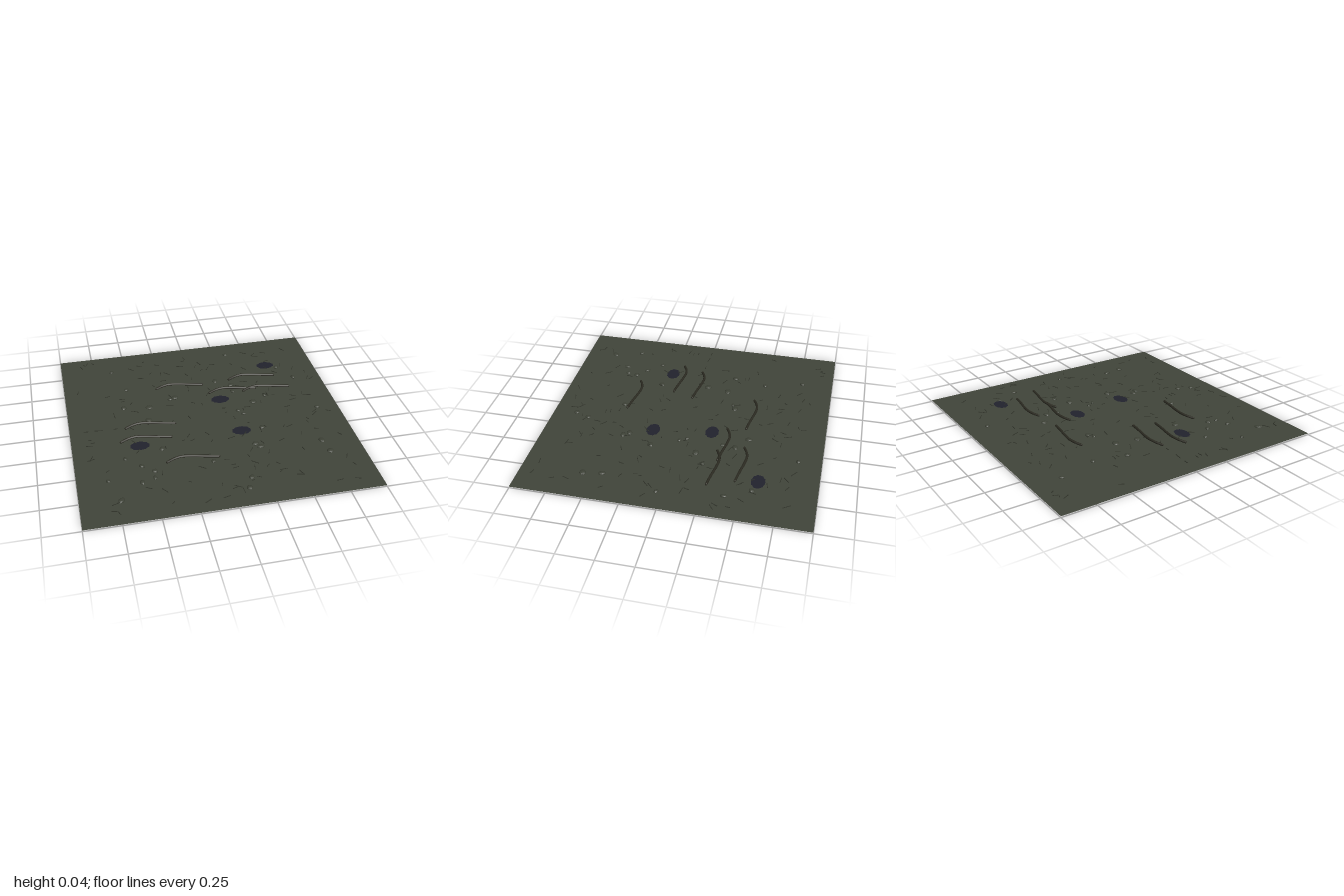
import * as THREE from 'three';

const mat = (name, color, extra = {}) => {
  const m = new THREE.MeshStandardMaterial({ color, ...extra });
  m.name = name;
  return m;
};

// Small seeded generator for the scattered debris
function seeded(seed) {
  return () => {
    seed = (seed * 1664525 + 1013904223) % 4294967296;
    return seed / 4294967296;
  };
}

export function createModel() {
  const model = new THREE.Group();
  model.name = 'forestFloor';
  const rand = seeded(11);
  const soil = mat('mossy soil', 0x41453a, { side: THREE.DoubleSide });
  const stone = mat('mossy stone', 0x3d4136, { flatShading: true });
  const bark = mat('dark bark', 0x2c2b22);
  const twigWood = mat('twig wood', 0x30332a);
  const water = mat('dark water', 0x21222d, { side: THREE.DoubleSide });

  const add = (name, geometry, material, parent = model) => {
    const mesh = new THREE.Mesh(geometry, material);
    mesh.name = name;
    parent.add(mesh);
    return mesh;
  };
  const group = (name) => {
    const g = new THREE.Group();
    g.name = name;
    model.add(g);
    return g;
  };

  // Ground sheet
  add('ground', new THREE.PlaneGeometry(2, 2).rotateX(-Math.PI / 2), soil);

  // Puddles with a slightly ragged outline
  const outline = [];
  for (let i = 0; i < 24; i++) {
    const a = (i / 24) * Math.PI * 2;
    const r = 1 + 0.05 * Math.sin(i * 2.6);
    outline.push(new THREE.Vector2(0.068 * r * Math.cos(a), 0.048 * r * Math.sin(a)));
  }
  const puddleGeo = new THREE.ShapeGeometry(new THREE.Shape(outline)).rotateX(-Math.PI / 2);
  const puddles = group('puddles');
  for (const [x, z] of [[0.615, -0.6], [0.15, -0.2], [-0.53, 0.245], [0.21, 0.22]])
    add('puddle', puddleGeo, water, puddles).position.set(x, 0.011, z);

  // Roots: one bent, slightly arched tube repeated
  const rootPath = new THREE.CatmullRomCurve3([
    [0, 0.012, 0], [0.05, 0.017, -0.022], [0.105, 0.02, -0.033],
    [0.18, 0.018, -0.025], [0.27, 0.015, -0.007], [0.36, 0.011, 0.008],
  ].map((p) => new THREE.Vector3(...p)));
  const rootGeo = new THREE.TubeGeometry(rootPath, 24, 0.009, 7);
  const capGeo = new THREE.SphereGeometry(0.009, 7, 5);
  const roots = group('roots');
  for (const [x, z] of [[-0.3, -0.44], [0.28, -0.456], [0.09, -0.302], [0.35, -0.276],
    [-0.6, 0.022], [-0.655, 0.178], [-0.375, 0.468]]) {
    const root = add('root', rootGeo, bark, roots);
    root.position.set(x, 0, z);
    for (const t of [0, 1]) add('rootTip', capGeo, bark, root).position.copy(rootPath.getPoint(t));
  }

  // Flat pebbles
  const pebbleGeo = new THREE.IcosahedronGeometry(1, 1);
  const pebbles = group('pebbles');
  const spots = [
    [-0.61, -0.77], [0.34, -0.84], [-0.53, -0.49], [0.7, -0.57], [0.79, -0.4], [0.17, -0.47],
    [0.28, -0.39], [-0.18, -0.31], [0.27, -0.3], [-0.22, -0.29], [0.39, -0.13], [0.25, -0.04],
    [0.28, 0.01], [0.84, 0.04], [-0.42, -0.06], [-0.65, 0.36], [-0.38, 0.3], [0.27, 0.38],
    [0.3, 0.42], [0.74, 0.44], [-0.47, 0.53], [-0.48, 0.6], [-0.55, 0.46], [-0.57, 0.63],
    [-0.06, 0.51], [-0.79, 0.57], [-0.73, 0.78], [0.15, 0.73], [0.11, 0.83], [0.76, 0.57],
    [0.37, 0.2], [-0.58, -0.25], [-0.39, -0.22], [0.5, -0.2],
  ];
  for (const [x, z] of spots) {
    const pebble = add('pebble', pebbleGeo, stone, pebbles);
    const r = 0.018 + 0.012 * rand();
    pebble.scale.set(r, 0.011, r * (0.65 + 0.3 * rand()));
    pebble.rotation.y = rand() * Math.PI;
    pebble.position.set(x, 0.002, z);
  }

  // Fine twigs scattered over the ground
  const twigGeo = new THREE.BoxGeometry(1, 0.003, 0.004);
  const twigs = group('twigs');
  for (let i = 0; i < 150; i++) {
    const twig = add('twig', twigGeo, twigWood, twigs);
    twig.scale.x = 0.02 + 0.04 * rand();
    twig.rotation.y = rand() * Math.PI;
    twig.position.set((rand() - 0.5) * 1.84, 0.012, (rand() - 0.5) * 1.84);
  }
  return model;
}
